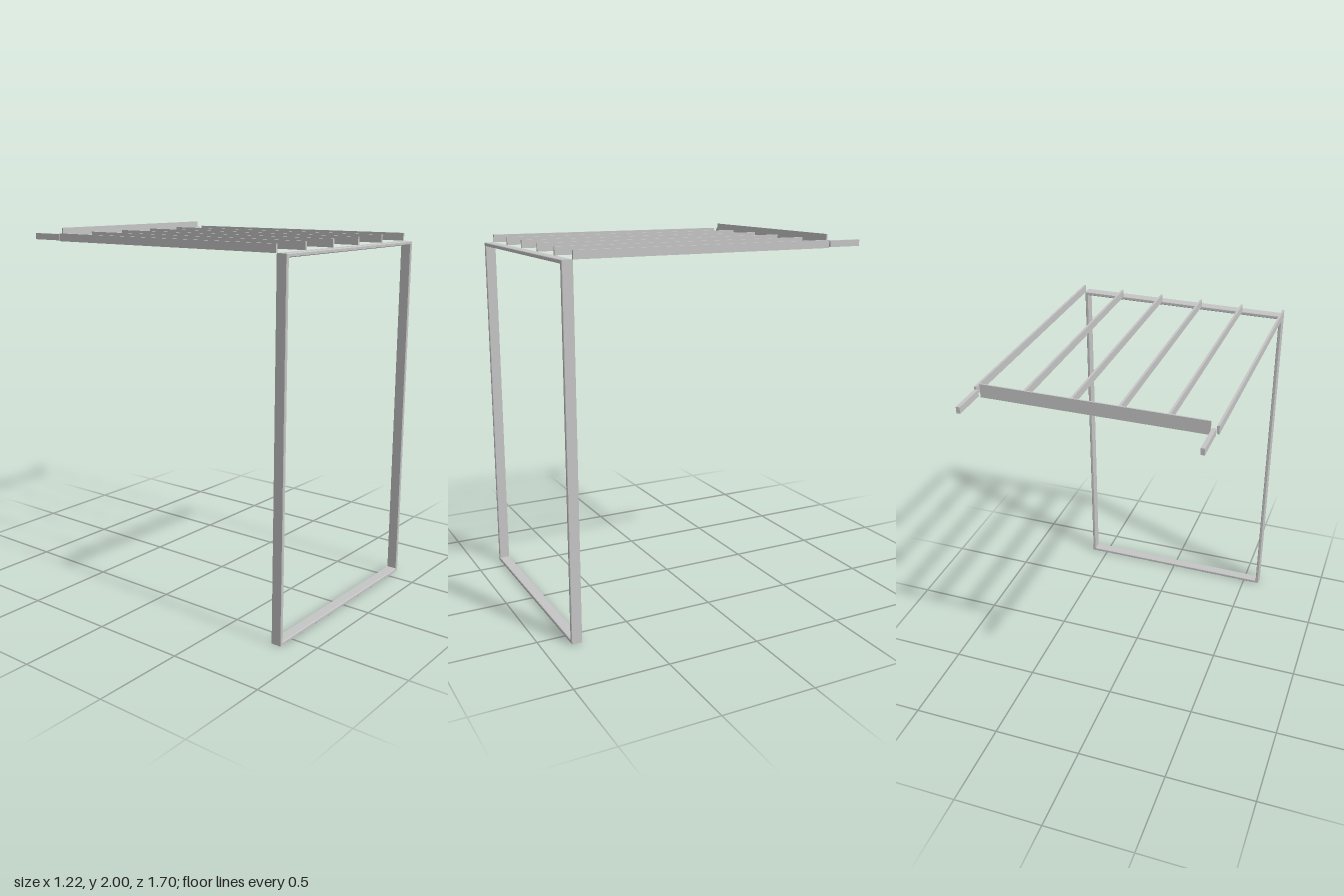
import * as THREE from 'three';

const steel = new THREE.MeshStandardMaterial({ color: 0xc6c6c6 });
steel.name = 'light grey steel';

// Box given by its extents on each axis
function bar(name, [x0, x1], [y0, y1], [z0, z1]) {
  const mesh = new THREE.Mesh(new THREE.BoxGeometry(x1 - x0, y1 - y0, z1 - z0), steel);
  mesh.position.set((x0 + x1) / 2, (y0 + y1) / 2, (z0 + z1) / 2);
  mesh.name = name;
  return mesh;
}

function rectangle(path, x0, y0, x1, y1) {
  path.moveTo(x0, y0);
  path.lineTo(x1, y0);
  path.lineTo(x1, y1);
  path.lineTo(x0, y1);
  path.closePath();
  return path;
}

export function createModel() {
  const model = new THREE.Group();
  model.name = 'pergolaFrame';

  // Upright rectangular frame with slightly eased edges
  const halfWidth = 0.602, top = 1.93, thick = 0.019, bevel = 0.003, depth = 0.058;
  const outline = rectangle(new THREE.Shape(), -halfWidth, 0, halfWidth, top);
  outline.holes.push(rectangle(new THREE.Path(), -halfWidth + thick, thick, halfWidth - thick, top - thick));
  const frameGeometry = new THREE.ExtrudeGeometry(outline, {
    depth: depth - 2 * bevel,
    bevelThickness: bevel,
    bevelSize: bevel,
    bevelOffset: -bevel,
    bevelSegments: 1,
  });
  const frame = new THREE.Mesh(frameGeometry, steel);
  frame.position.z = 0.793 + bevel;
  frame.name = 'uprightFrame';
  model.add(frame);

  // Six evenly spaced roof rafters
  const rafters = new THREE.Group();
  rafters.name = 'rafters';
  for (let i = 0; i < 6; i++) {
    const x = -0.604 + i * 0.2416;
    rafters.add(bar('rafter', [x - 0.006, x + 0.006], [1.93, 1.972], [-0.644, 0.796]));
  }
  model.add(rafters);

  // Thin fascia board across the back
  model.add(bar('fasciaBoard', [-0.573, 0.569], [1.93, 2], [-0.662, -0.654]));

  // Short arms reaching behind the fascia
  for (const side of [-1, 1]) {
    const x = side * 0.589;
    model.add(bar(side > 0 ? 'leftArm' : 'rightArm', [x - 0.01, x + 0.01], [1.933, 1.967], [-0.85, -0.66]));
  }

  return model;
}
